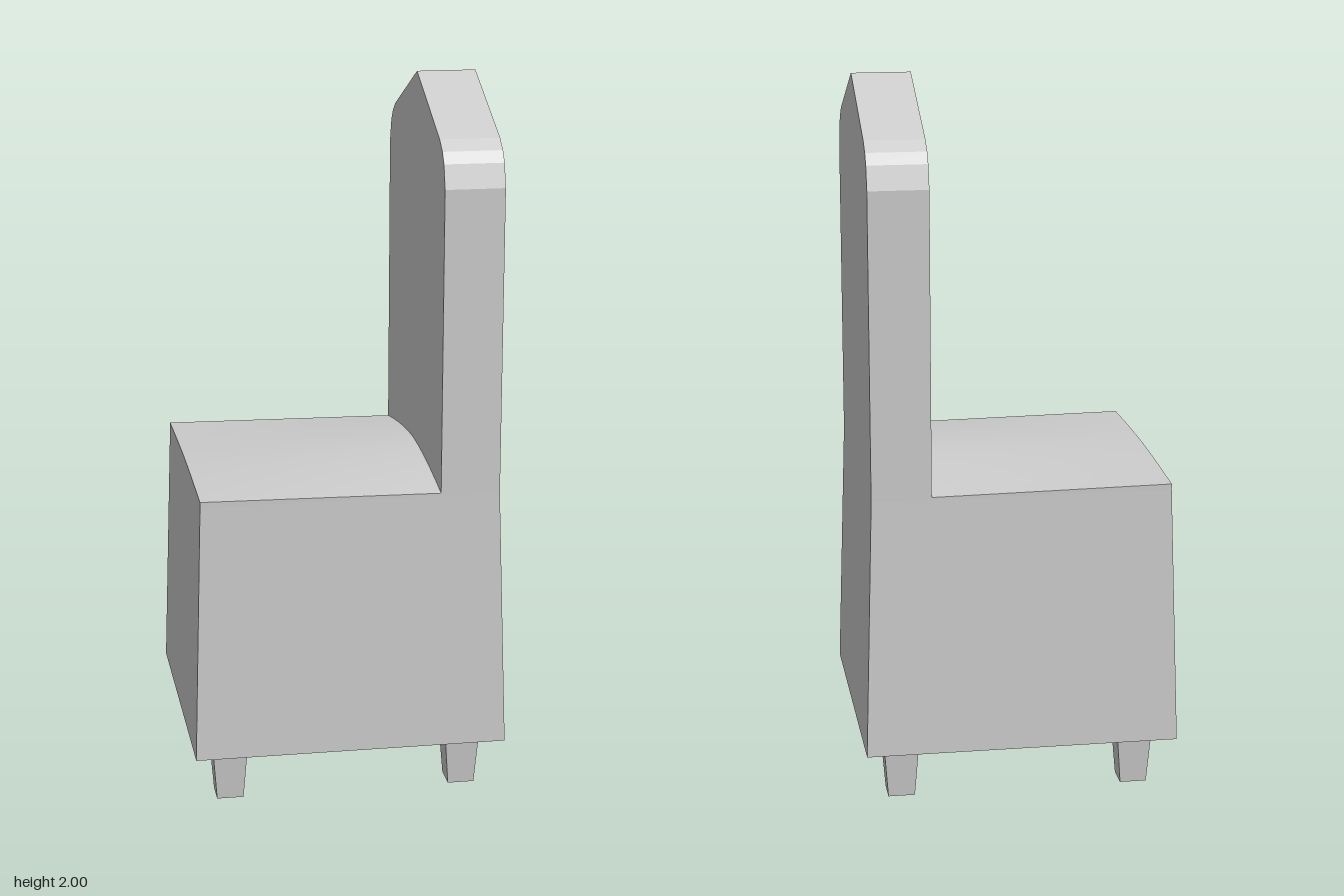
import * as THREE from 'three';

const grey = new THREE.MeshStandardMaterial({ color: 0xcccccc });
const flatGrey = new THREE.MeshStandardMaterial({ color: 0xcccccc, flatShading: true });

// Skin through rectangular rings [halfX, y, halfZ], closed after the last ring
function rectLoft(rings) {
  const pos = [], index = [];
  for (const [x, y, z] of rings) pos.push(x, y, z, x, y, -z, -x, y, -z, -x, y, z);
  for (let r = 0; r < rings.length - 1; r++) {
    for (let i = 0; i < 4; i++) {
      const a = r * 4 + i, b = r * 4 + (i + 1) % 4;
      index.push(a, a + 4, b, b, a + 4, b + 4);
    }
  }
  const n = (rings.length - 1) * 4;
  index.push(n, n + 2, n + 1, n, n + 3, n + 2);
  const geo = new THREE.BufferGeometry();
  geo.setAttribute('position', new THREE.Float32BufferAttribute(pos, 3));
  geo.setIndex(index);
  const flat = geo.toNonIndexed();
  flat.computeVertexNormals();
  return flat;
}

export function createModel() {
  const group = new THREE.Group();
  const add = (name, geo, mat = grey) => {
    const mesh = new THREE.Mesh(geo, mat);
    mesh.name = name;
    group.add(mesh);
    return mesh;
  };
  const topX = 0.415, topZ = 0.393, baseY = 0.16, joinY = 0.89, backX = 0.25;

  // Tapered upholstered base, hollow underneath
  add('base', rectLoft([
    [topX, joinY, topZ], [0.438, baseY, 0.414],
    [0.405, baseY, 0.381], [0.385, 0.8, 0.362],
  ]), flatGrey);

  // Seat cushion, crowned towards the backrest
  const seat = new THREE.BoxGeometry(backX + topX, 0.01, topZ * 2, 4, 1, 10);
  seat.translate((backX - topX) / 2, joinY + 0.005, 0);
  const p = seat.attributes.position;
  for (let i = 0; i < p.count; i++) {
    if (p.getY(i) < joinY + 0.005) continue;
    const t = (p.getX(i) + topX) / (backX + topX);
    const crown = 1 - Math.pow(Math.abs(p.getZ(i)) / topZ, 1.6);
    const edge = 0.905 - 0.008 * t;
    p.setY(i, edge + crown * (0.01 + 0.035 * t));
  }
  seat.computeVertexNormals();
  add('seat', seat);

  // Backrest with rounded shoulders and a pointed top
  const half = [[topZ, joinY], [topZ, 1.74], [0.374, 1.805], [0.352, 1.835], [0.315, 1.862]];
  const outline = [...half, [0, 2], ...half.map(([z, y]) => [-z, y]).reverse()];
  const shape = new THREE.Shape(outline.map(([z, y]) => new THREE.Vector2(z, y)));
  const back = new THREE.ExtrudeGeometry(shape, { depth: topX - backX, bevelEnabled: false });
  back.rotateY(Math.PI / 2).translate(backX, 0, 0);
  add('backrest', back);

  // Four square legs tapering to the floor, rising inside the base
  const legHeight = 0.36;
  const legGeo = new THREE.CylinderGeometry(0.13 / Math.SQRT2, 0.075 / Math.SQRT2, legHeight, 4);
  legGeo.rotateY(Math.PI / 4).translate(0, legHeight / 2, 0);
  for (const sx of [-1, 1]) {
    for (const sz of [-1, 1]) {
      add(sx < 0 ? 'frontLeg' : 'backLeg', legGeo, flatGrey).position.set(sx * 0.333, 0, sz * 0.285);
    }
  }
  return group;
}
